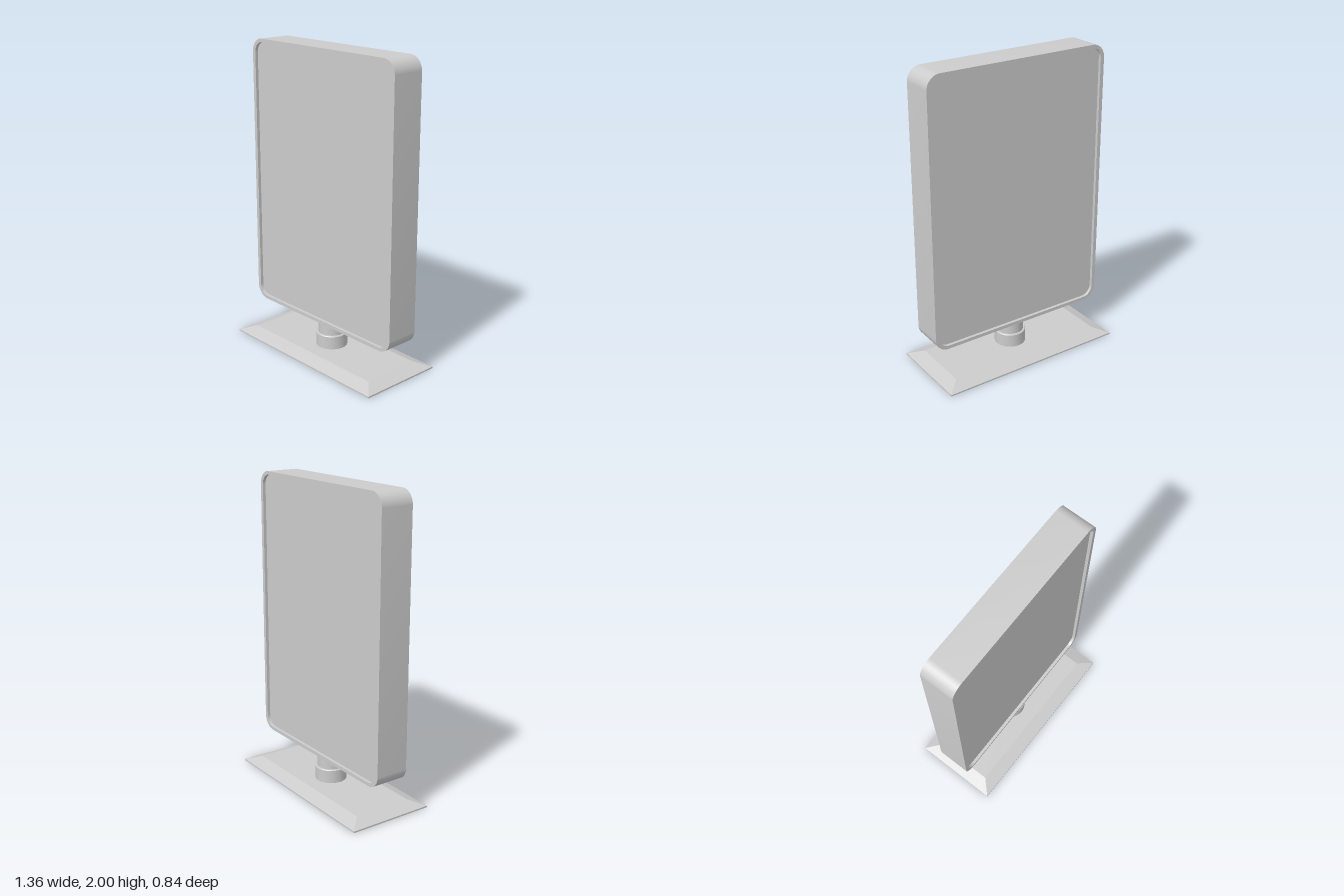
import * as THREE from 'three';
import { toCreasedNormals } from 'three/addons/utils/BufferGeometryUtils.js';

const material = new THREE.MeshStandardMaterial({ color: 0xcccccc });

// Rounded rectangle outline centred on the origin
function roundedRect(path, w, h, r) {
  const x = w / 2, y = h / 2;
  path.moveTo(-x + r, -y);
  path.lineTo(x - r, -y);
  path.absarc(x - r, -y + r, r, -Math.PI / 2, 0);
  path.lineTo(x, y - r);
  path.absarc(x - r, y - r, r, 0, Math.PI / 2);
  path.lineTo(-x + r, y);
  path.absarc(-x + r, y - r, r, Math.PI / 2, Math.PI);
  path.lineTo(-x, -y + r);
  path.absarc(-x + r, -y + r, r, Math.PI, Math.PI * 1.5);
  return path;
}

function extrude(shape, depth) {
  const geo = new THREE.ExtrudeGeometry(shape, { depth, bevelEnabled: false, curveSegments: 12 });
  geo.translate(0, 0, -depth / 2);
  return toCreasedNormals(geo, 0.5);
}

export function createModel() {
  const model = new THREE.Group();
  model.name = 'displayStand';

  function add(name, geometry, y) {
    const mesh = new THREE.Mesh(geometry, material);
    mesh.name = name;
    mesh.position.y = y;
    model.add(mesh);
  }

  // Base plate: thin upright edge, then a slope up to a smaller top
  const plate = new THREE.BoxGeometry(1.27, 0.044, 0.57, 1, 2, 1);
  const p = plate.attributes.position;
  for (let i = 0; i < p.count; i++) {
    const y = p.getY(i);
    if (y > 0.01) p.setXYZ(i, Math.sign(p.getX(i)) * 0.545, y, Math.sign(p.getZ(i)) * 0.197);
    else if (y > -0.01) p.setY(i, -0.012);
  }
  add('basePlate', toCreasedNormals(plate, 0.1), 0.022);

  // Stepped neck
  const neck = [[0, 0.04], [0.102, 0.04], [0.102, 0.13], [0.098, 0.135],
    [0.088, 0.135], [0.088, 0.235], [0, 0.235]].map(([r, y]) => new THREE.Vector2(r, y));
  add('neck', toCreasedNormals(new THREE.LatheGeometry(neck, 40), 0.5), 0);

  // Frame with a lip standing proud of the panel on both faces
  const frame = roundedRect(new THREE.Shape(), 1.26, 1.78, 0.09);
  frame.holes.push(roundedRect(new THREE.Path(), 1.21, 1.735, 0.068));
  add('frame', extrude(frame, 0.22), 1.11);

  // Double-sided panel
  add('panel', extrude(roundedRect(new THREE.Shape(), 1.21, 1.735, 0.068), 0.18), 1.11);

  // The whole stand is turned slightly
  model.rotation.y = -0.222;
  return model;
}
